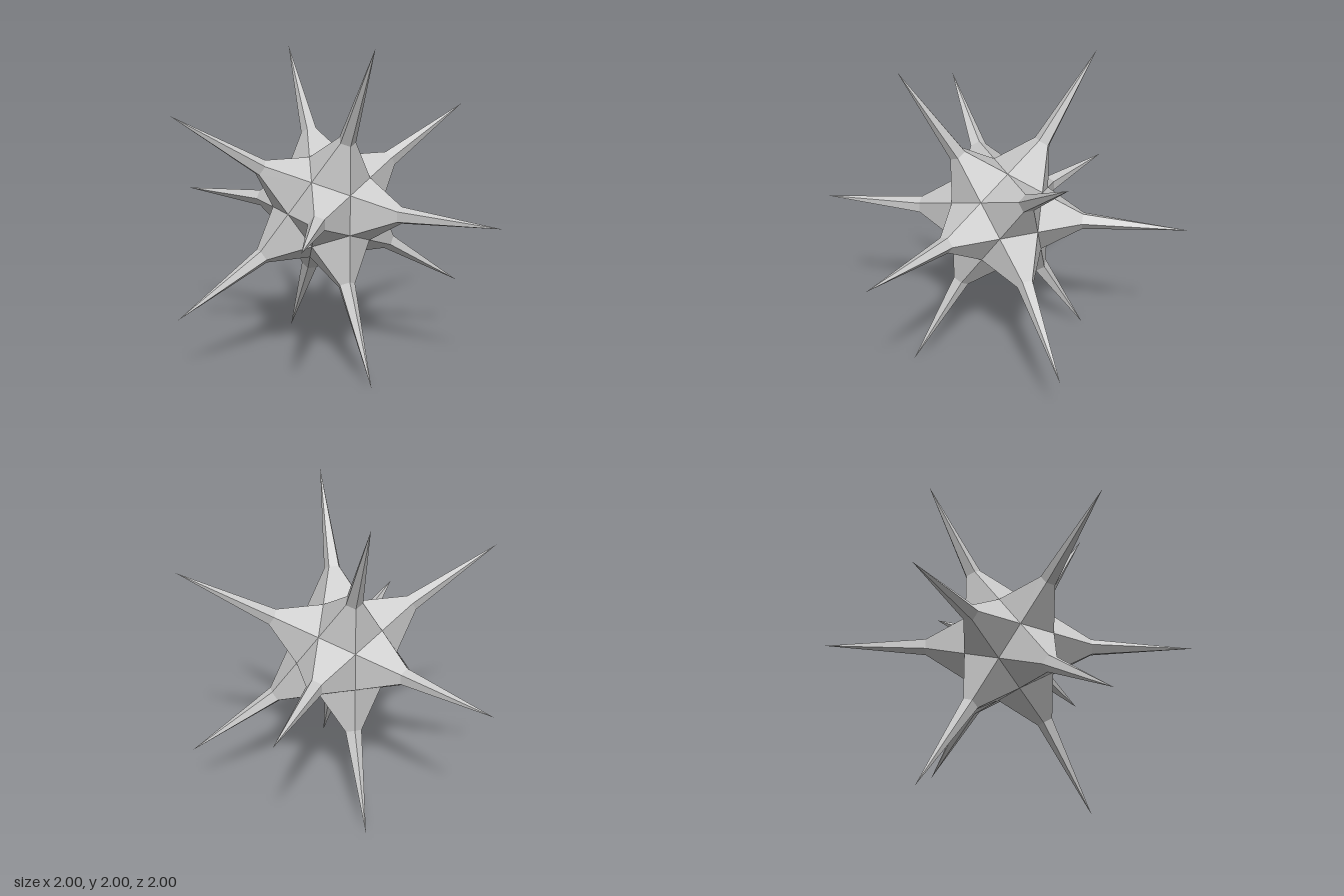
import * as THREE from 'three';

const PHI = (1 + Math.sqrt(5)) / 2;

// Five-sided spike along +y: wide skirt, then a long needle
function spikeGeometry() {
  const a = 0.2;                                  // half cube edge of the inner dodecahedron
  const len = Math.hypot(1, 1 / PHI);
  const baseH = a * (1 / PHI + 1) / len;
  const baseR = a * (PHI - 1 / PHI / PHI) / len;
  const peakH = baseH * Math.sqrt(5);             // where the skirt faces would meet
  const t = 0.74;                                 // the needle starts this far up the skirt
  const profile = [
    new THREE.Vector2(baseR, baseH),
    new THREE.Vector2(baseR * (1 - t), baseH + (peakH - baseH) * t),
    new THREE.Vector2(0, len),
  ];
  const geometry = new THREE.LatheGeometry(profile, 5).toNonIndexed();
  geometry.computeVertexNormals();
  return geometry;
}

export function createModel() {
  const model = new THREE.Group();
  model.name = 'spikedStar';
  const geometry = spikeGeometry();
  const material = new THREE.MeshStandardMaterial({ color: 0xcccccc, flatShading: true });

  // Twelve spikes on the corners of an icosahedron; their bases close the core
  const cycle = (v, n) => {
    const c = [v[(3 - n) % 3], v[(4 - n) % 3], v[(5 - n) % 3]];
    return new THREE.Vector3(...c).normalize();
  };
  for (let n = 0; n < 3; n++) {
    for (const s of [1, -1]) {
      for (const q of [1, -1]) {
        const axis = cycle([s, q / PHI, 0], n);
        const corner = cycle([-s / PHI, q, 0], n);  // direction of the first base corner
        const side = axis.clone().cross(corner);
        const spike = new THREE.Mesh(geometry, material);
        spike.name = 'spike';
        spike.quaternion.setFromRotationMatrix(new THREE.Matrix4().makeBasis(side, axis, corner));
        spike.position.y = 1;
        model.add(spike);
      }
    }
  }
  return model;
}
